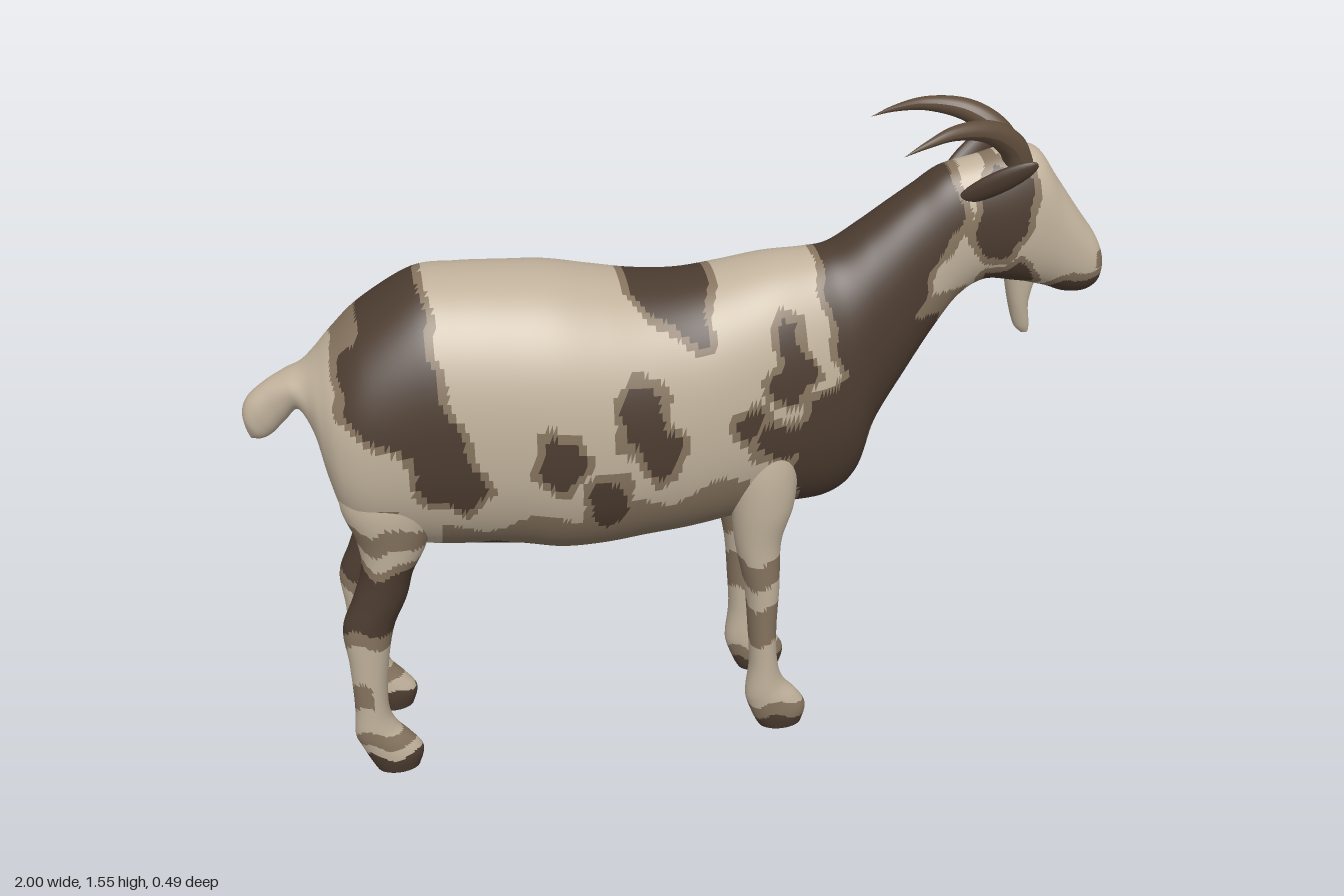
import * as THREE from 'three';

const paint = (name, color) => {
  const m = new THREE.MeshStandardMaterial({ color });
  m.name = name;
  return m;
};
const cream = paint('cream coat', 0xc0b19b);
const tan = paint('tan coat', 0x86745f);
const dark = paint('dark brown coat', 0x4c3c30);
const hornBrown = paint('horn brown', 0x5f4c3b);
const coat = [cream, tan, dark];

// Each section: upper/front point x,y, lower/back point x,y, half width, side offset
const trunk = [
  [-.997, .915, -.985, .882, .012], [-1, .95, -.96, .882, .03], [-.985, .985, -.935, .895, .037],
  [-.945, 1.018, -.905, .925, .043], [-.9, 1.04, -.87, .955, .06], [-.862, 1.053, -.84, .89, .095],
  [-.83, 1.078, -.82, .78, .145], [-.79, 1.12, -.79, .68, .188], [-.72, 1.185, -.73, .62, .215],
  [-.6, 1.255, -.6, .59, .226], [-.5, 1.26, -.5, .58, .232], [-.4, 1.255, -.4, .57, .238],
  [-.3, 1.248, -.3, .55, .244], [-.2, 1.228, -.2, .55, .242], [-.1, 1.21, -.1, .56, .234],
  [0, 1.205, 0, .567, .221], [.1, 1.218, .1, .58, .206], [.2, 1.235, .22, .6, .188],
];
const neckAndHead = [
  [.29, 1.24, .345, .61, .172], [.35, 1.25, .415, .665, .155], [.42, 1.295, .455, .79, .132],
  [.48, 1.338, .525, .915, .115], [.54, 1.38, .595, 1.03, .1], [.6, 1.42, .65, 1.105, .093],
  [.68, 1.44, .71, 1.14, .09], [.76, 1.46, .78, 1.132, .09], [.82, 1.452, .86, 1.112, .084],
  [.87, 1.385, .91, 1.093, .077], [.93, 1.3, .955, 1.09, .07], [.972, 1.243, .985, 1.105, .058],
  [.994, 1.2, .998, 1.13, .035], [1, 1.175, 1, 1.15, .012],
];
const frontLeg = [
  [.25, .86, .12, .86, .035, .135], [.255, .75, .1, .76, .058, .13], [.248, .65, .1, .66, .064, .125],
  [.222, .55, .11, .55, .058, .12], [.22, .42, .135, .42, .052, .122], [.215, .3, .145, .3, .045, .124],
  [.22, .2, .15, .2, .041, .125], [.237, .14, .142, .12, .042, .125], [.275, .095, .145, .085, .043, .125],
  [.295, .055, .165, .03, .042, .125], [.285, .008, .178, .006, .034, .125],
];
const hindLeg = [
  [-.56, .88, -.79, .88, .05, .13], [-.58, .75, -.805, .76, .078, .122], [-.615, .64, -.775, .66, .071, .12],
  [-.65, .57, -.77, .58, .064, .12], [-.67, .5, -.795, .5, .058, .121], [-.705, .42, -.825, .42, .051, .123],
  [-.725, .32, -.818, .32, .046, .124], [-.735, .2, -.815, .2, .041, .125], [-.72, .14, -.82, .12, .042, .125],
  [-.685, .095, -.81, .085, .043, .125], [-.66, .055, -.787, .03, .042, .125], [-.672, .008, -.775, .006, .034, .125],
];
const beard = [
  [.85, 1.14, .77, 1.14, .032], [.835, 1.07, .785, 1.07, .026], [.842, 1.01, .803, 1.01, .015],
  [.842, .986, .824, .986, .005],
];
const teat = [[-.5, .62, -.58, .62, .035], [-.515, .575, -.555, .575, .02], [-.525, .553, -.545, .553, .008]];

// Coat patches as outlines and spots in side elevation
const patches = [
  [[-.6, 1.3], [-.575, 1.07], [-.51, .91], [-.48, .8], [-.53, .76], [-.61, .8], [-.645, .91], [-.77, 1], [-.785, 1.07], [-.74, 1.16], [-.7, 1.3]],
  [[-.14, 1.3], [.05, 1.3], [.045, 1.2], [.03, 1.1], [-.04, 1.13], [-.12, 1.2]],
  [[.2, 1.15], [.23, 1.13], [.28, 1], [.24, .95], [.18, .96], [.175, 1], [.2, 1.05]],
  [[.3, 1.3], [.6, 1.5], [.62, 1.4], [.63, 1.31], [.57, 1.23], [.53, 1.11], [.6, 1.08], [.6, .98], [.5, .86], [.43, .83], [.45, .69], [.38, .58], [.28, .58], [.24, .72], [.235, .855], [.275, .935], [.355, .99], [.33, 1.1]],
  [[.7, 1.43], [.77, 1.44], [.8, 1.34], [.755, 1.23], [.69, 1.215], [.66, 1.31]],
  [[.7, 1.17], [.78, 1.2], [.82, 1.14], [.78, 1.11], [.72, 1.11]],
];
const spots = [
  [-.31, .877, .048, .065], [-.125, .963, .05, .075], [-.08, .866, .04, .055], [-.205, .75, .045, .068],
  [.125, .91, .028, .035], [.2, .85, .06, .045], [.965, 1.11, .06, .036], [.9, 1.11, .035, .022],
  [-.47, .585, .1, .04], [-.71, .72, .02, .03],
];

// Signed distance to an outline, negative inside
function outlineDistance(poly, x, y) {
  let best = 1e9, inside = false;
  poly.forEach(([ax, ay], i) => {
    const [bx, by] = poly[(i + 1) % poly.length];
    const dx = bx - ax, dy = by - ay;
    const t = THREE.MathUtils.clamp(((x - ax) * dx + (y - ay) * dy) / (dx * dx + dy * dy), 0, 1);
    best = Math.min(best, Math.hypot(x - ax - t * dx, y - ay - t * dy));
    if ((ay > y) !== (by > y) && x < ax + (y - ay) * dx / dy) inside = !inside;
  });
  return inside ? -best : best;
}

// Coat rules return 0 cream, 1 tan, 2 dark
function bodyCoat(x, y, z) {
  const wx = x + .008 * Math.sin(y * 55 + x * 20), wy = y + .008 * Math.sin(x * 60 + 1);
  if (x > .4 && y < .98 && Math.abs(z) < .055 + .03 * Math.cos((y - .8) * 22)) return 1;
  let d = 1;
  for (const p of patches) d = Math.min(d, outlineDistance(p, wx, wy));
  for (const [cx, cy, rx, ry] of spots) {
    d = Math.min(d, (Math.hypot((wx - cx) / rx, (wy - cy) / ry) - 1) * Math.min(rx, ry));
  }
  if (d < 0) return 2;
  if (d < .018) return 1;
  if (x > .97 && y > 1.165 && y < 1.205) return 1;
  if (x > -.58 && x < .25) {
    if (y < .575 + .012 * Math.sin(x * 25)) return 2;
    if (y < .75 + .1 * x + .02 * Math.sin(x * 30)) return 1;
  }
  if (x < -.58 && x > -.8 && y < .74 && Math.sin(x * 55) + Math.sin(y * 60) > .7) return 1;
  return x > .52 && x < .66 && y < 1.15 ? 1 : 0;
}
const wave = (x, z) => .012 * Math.sin(x * 50 + z * 40);
function frontLegCoat(x, y, z) {
  const h = y + wave(x, z);
  if (h < .045) return 2;
  if (h < .085 || (h > .27 && h < .38) || (h > .44 && h < .51)) return 1;
  return 0;
}
function hindLegCoat(x, y, z) {
  const h = y + wave(x, z);
  if (h < .06 || (h > .425 && h < .585)) return 2;
  if ((h > .09 && h < .13) || (h > .2 && h < .27 && x < -.77) || (h > .385 && h < .61)) return 1;
  return h > .65 && h < .71 ? 1 : 0;
}

// Smooth skin through the sections, sorted into coat colours
function loft(name, rows, rule, { side = 1, ring = 40, steps = 8, power = 1 } = {}) {
  const pos = [], count = (rows.length - 1) * steps;
  const row = i => rows[THREE.MathUtils.clamp(i, 0, rows.length - 1)];
  const spline = (k, s, t) => {
    const [a, b, c, d] = [-1, 0, 1, 2].map(o => row(s + o)[k] ?? 0);
    return b + .5 * t * (c - a + t * (2 * a - 5 * b + 4 * c - d + t * (3 * (b - c) + d - a)));
  };
  const round = v => Math.sign(v) * Math.abs(v) ** power;
  const ends = [];
  for (let i = 0; i <= count; i++) {
    const s = Math.min(Math.floor(i / steps), rows.length - 2), t = i / steps - s;
    const [x1, y1, x2, y2, w, zc] = [0, 1, 2, 3, 4, 5].map(k => spline(k, s, t));
    for (let j = 0; j < ring; j++) {
      const a = j / ring * Math.PI * 2, c = round(Math.cos(a)) / 2;
      pos.push((x1 + x2) / 2 + (x1 - x2) * c, (y1 + y2) / 2 + (y1 - y2) * c, side * zc + w * round(Math.sin(a)));
    }
    if (i === 0 || i === count) ends.push((x1 + x2) / 2, (y1 + y2) / 2, side * zc);
  }
  pos.push(...ends);
  const buckets = [[], [], []], tail = (count + 1) * ring;
  const face = (...ids) => {
    const [x, y, z] = [0, 1, 2].map(k => ids.reduce((sum, id) => sum + pos[id * 3 + k], 0) / 3);
    buckets[rule(x, y, z)].push(...ids);
  };
  for (let j = 0; j < ring; j++) {
    const n = (j + 1) % ring;
    for (let i = 0; i < count; i++) {
      const a = i * ring + j, b = i * ring + n;
      face(a, b, a + ring);
      face(b, b + ring, a + ring);
    }
    face(tail, n, j);
    face(tail + 1, count * ring + j, count * ring + n);
  }
  const geo = new THREE.BufferGeometry();
  geo.setAttribute('position', new THREE.Float32BufferAttribute(pos, 3));
  geo.setIndex(buckets.flat());
  let start = 0;
  buckets.forEach((b, m) => {
    if (b.length) geo.addGroup(start, b.length, m);
    start += b.length;
  });
  geo.computeVertexNormals();
  const mesh = new THREE.Mesh(geo, coat);
  mesh.name = name;
  return mesh;
}

// Swept-back horn, tapering to its tip
function horn(side) {
  const path = new THREE.CatmullRomCurve3([[.775, 1.41, .03], [.745, 1.475, .045], [.68, 1.522, .07], [.59, 1.535, .1], [.52, 1.52, .122], [.468, 1.5, .132]]
    .map(([x, y, z]) => new THREE.Vector3(x, y, z * side)));
  const geo = new THREE.TubeGeometry(path, 40, .034, 16), p = geo.attributes.position, v = new THREE.Vector3();
  for (let i = 0; i < p.count; i++) {
    const t = Math.floor(i / 17) / 40;
    v.fromBufferAttribute(p, i).lerp(path.getPointAt(t), t ** 1.6);
    p.setXYZ(i, v.x, v.y, v.z);
  }
  geo.computeVertexNormals();
  const mesh = new THREE.Mesh(geo, hornBrown);
  mesh.name = 'horn';
  return mesh;
}

// Narrow ear pointing forward and out
function ear(side) {
  const mesh = new THREE.Mesh(new THREE.SphereGeometry(1, 20, 14), dark);
  mesh.name = 'ear';
  mesh.scale.set(.03, .1, .016);
  mesh.position.set(.7, 1.41, .095 * side);
  mesh.quaternion.setFromUnitVectors(new THREE.Vector3(0, 1, 0), new THREE.Vector3(.15, .1, .065 * side).normalize());
  return mesh;
}

export function createModel() {
  const goat = new THREE.Group();
  goat.name = 'goat';
  goat.add(loft('body', [...trunk, ...neckAndHead], bodyCoat, { ring: 100, steps: 11, power: .92 }));
  goat.add(loft('beard', beard, () => 0, { ring: 20 }), loft('teat', teat, () => 2, { ring: 16 }));
  for (const side of [1, -1]) {
    goat.add(loft('frontLeg', frontLeg, frontLegCoat, { side }), loft('hindLeg', hindLeg, hindLegCoat, { side }));
    goat.add(horn(side), ear(side));
  }
  return goat;
}
